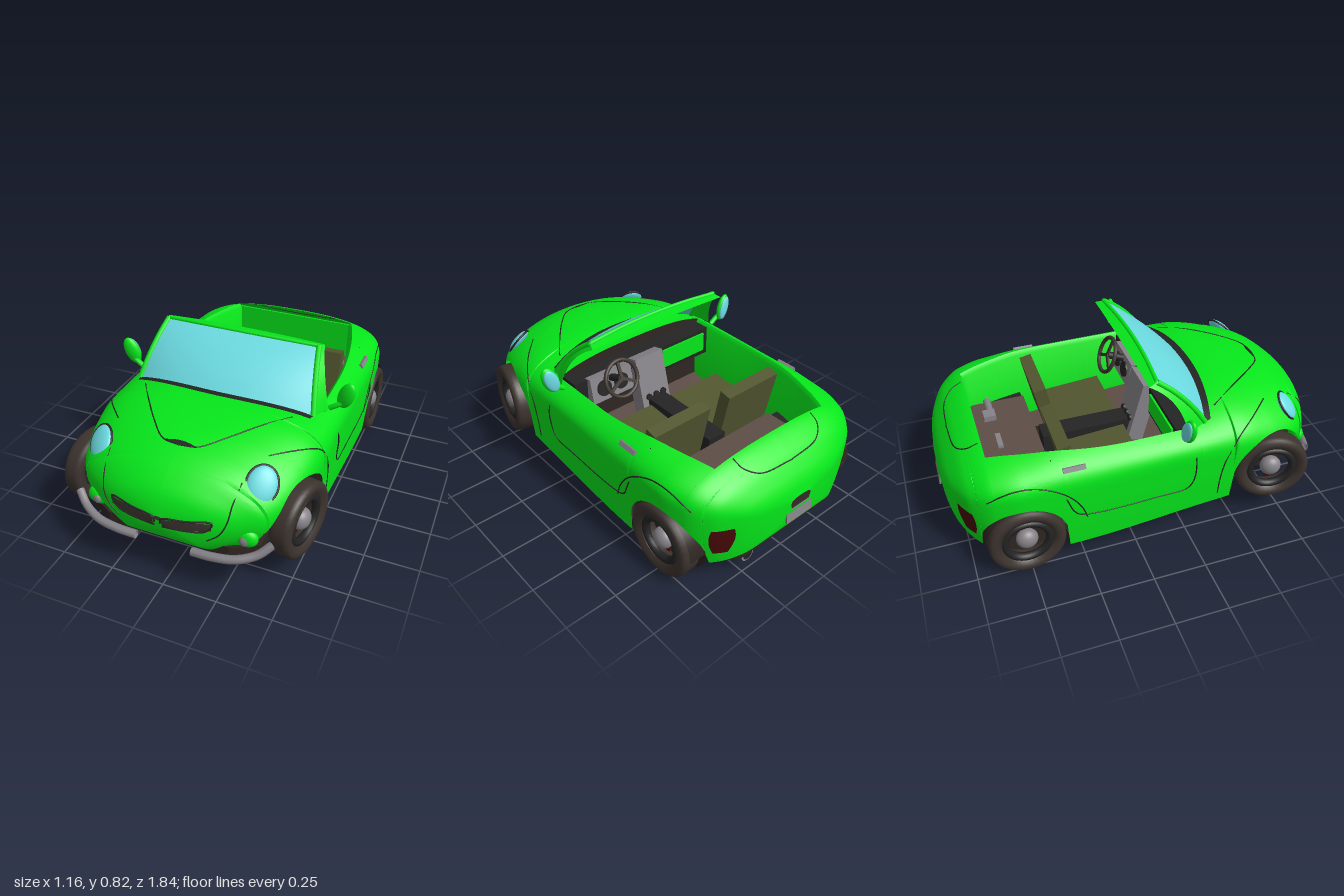
import * as THREE from 'three';
import { toCreasedNormals } from 'three/addons/utils/BufferGeometryUtils.js';

const mat = (name, color) => new THREE.MeshStandardMaterial({ name, color, side: THREE.DoubleSide });
const M = {
  paint: mat('green paint', 0x06ee1c), glass: mat('pale blue glass', 0x6cdce2),
  tyre: mat('tyre rubber', 0x3c332e), black: mat('black trim', 0x242424),
  under: mat('underbody', 0x2e2622), metal: mat('grey metal', 0x868388),
  seat: mat('olive cloth', 0x52562f), carpet: mat('brown carpet', 0x5e4d47), lamp: mat('dark red', 0x480a08),
};
const V = (x, y, z) => new THREE.Vector3(x, y, z);

// Body stations: z, half width, waist height, crown height, bottom, lower tuck
const ST = [
  [1.0, .02, .37, .38, .36, .1], [.985, .14, .36, .43, .29, .25], [.96, .245, .36, .475, .235, .32],
  [.92, .335, .36, .515, .21, .35], [.87, .415, .37, .55, .21, .25], [.78, .47, .39, .588, .2, .12],
  [.65, .51, .4, .612, .18, .05], [.48, .53, .42, .624, .16, .02], [.3, .53, .44, .61, .145, .02],
  [-.3, .53, .42, .615, .09, .03], [-.5, .525, .42, .59, .09, .03], [-.63, .495, .41, .568, .1, .06],
  [-.72, .43, .39, .52, .12, .12], [-.78, .32, .37, .452, .15, .15], [-.81, .21, .35, .4, .2, .2],
  [-.825, .06, .33, .35, .29, .2],
];
// Smooth monotone interpolation between stations; n is the roundness of the upper part
function section(z) {
  let i = 0;
  while (i < ST.length - 2 && z < ST[i + 1][0]) i++;
  const dz = ST[i + 1][0] - ST[i][0], t = THREE.MathUtils.clamp((z - ST[i][0]) / dz, 0, 1);
  const t2 = t * t, t3 = t2 * t;
  const [w, m, h, b, k] = [1, 2, 3, 4, 5].map((c) => {
    const slope = (j) => (ST[j + 1][c] - ST[j][c]) / (ST[j + 1][0] - ST[j][0]);
    const tangent = (j) => {
      if (j === 0 || j === ST.length - 1) return slope(Math.max(0, j - 1));
      const a = slope(j - 1), d = slope(j);
      return a * d <= 0 ? 0 : 2 * a * d / (a + d);
    };
    return (2 * t3 - 3 * t2 + 1) * ST[i][c] + (3 * t2 - 2 * t3) * ST[i + 1][c]
      + dz * ((t3 - 2 * t2 + t) * tangent(i) + (t3 - t2) * tangent(i + 1));
  });
  return { w, m, h, b, k, n: 2.6 - .55 * THREE.MathUtils.smoothstep(z, .5, .8) };
}
// Surface lookups: half width at (y, z), top at (x, z), end face at (x, y)
function sideX(y, z) {
  const { w, m, h, b, k, n } = section(z);
  if (y > h || y < b) return 0;
  return y > m ? w * (1 - ((y - m) / (h - m)) ** n) ** (1 / n) : w * (1 - k * ((m - y) / (m - b)) ** 2);
}
function topY(x, z) {
  const { w, m, h, n } = section(z);
  return m + (h - m) * (1 - Math.min(1, Math.abs(x) / w) ** n) ** (1 / n);
}
function endZ(x, y, dir) {
  let a = .55 * dir, b = dir > 0 ? 1 : -.825;
  for (let i = 0; i < 30; i++) {
    const c = (a + b) / 2;
    if (sideX(y, c) > Math.abs(x)) a = c; else b = c;
  }
  return a;
}
const onSide = (y, z, o = 0) => V(sideX(y, z) + o, y, z);
const onTop = (x, z, o = 0) => V(x, topY(x, z) + o, z);
const onNose = (x, y, o = 0) => V(x, y, endZ(x, y, 1) + o);

// Surface through rows of points
function grid(rows) {
  const n = rows[0].length, idx = [];
  for (let i = 0; i < rows.length - 1; i++) for (let j = 0; j < n - 1; j++) {
    const a = i * n + j, b = a + n;
    idx.push(a, b, a + 1, b, b + 1, a + 1);
  }
  const g = new THREE.BufferGeometry().setFromPoints(rows.flat());
  g.setIndex(idx);
  return toCreasedNormals(g, .7);
}
const patch = (nu, nv, f) => grid(Array.from({ length: nu + 1 }, (_, i) =>
  Array.from({ length: nv + 1 }, (_, j) => f(i / nu, j / nv))));
const ruled = (f, g, a = -1) => patch(20, 1, (u, v) => f(a + (1 - a) * u).lerp(g(a + (1 - a) * u), v));
const tube = (pts, r) => new THREE.TubeGeometry(new THREE.CatmullRomCurve3(pts), 50, r, 8);
const box = (x, y, z) => new THREE.BoxGeometry(x, y, z);
const cyl = (r, l) => new THREE.CylinderGeometry(r, r, l, 20);
const opening = (z) => .44 - .11 * Math.max(0, -z / .63) ** 2;

// Half of the body skin between two z values, cut by the wheel arches
function shell(z0, z1, steps, open) {
  return grid(Array.from({ length: steps + 1 }, (_, i) => {
    const z = z0 + (z1 - z0) * i / steps, { w, m, h, b, k, n } = section(z), p = 2 / n;
    let low = b;
    for (const [cz, cy, r] of [[.665, .265, .2], [-.51, .18, .185]])
      if (Math.abs(z - cz) < r) low = Math.max(low, cy + Math.sqrt(r * r - (z - cz) ** 2));
    const s0 = low < m ? -(m - low) / (m - b) : Math.asin(((low - m) / (h - m)) ** (1 / p)) * 2 / Math.PI;
    const s1 = open ? Math.acos((opening(z) / w) ** (1 / p)) * 2 / Math.PI : 1;
    const row = [V(z > .866 || z < -.7 ? 0 : sideX(low, z), low, z)];
    for (let j = 0; j <= 30; j++) {
      const s = s0 + (s1 - s0) * j / 30, a = s * Math.PI / 2;
      row.push(s < 0 ? V(w * (1 - k * s * s), m + s * (m - b), z)
        : V(w * Math.max(0, Math.cos(a)) ** p, m + (h - m) * Math.sin(a) ** p, z));
    }
    return row;
  }));
}

export function createModel() {
  const car = new THREE.Group(), half = new THREE.Group();
  car.name = 'convertibleCar';
  half.name = 'leftHalf';
  const add = (name, geo, m, pos = [0, 0, 0], rot = [0, 0, 0], parent = car) => {
    const mesh = new THREE.Mesh(geo, m);
    mesh.name = name;
    mesh.position.set(...pos);
    mesh.rotation.set(...rot);
    parent.add(mesh);
    return mesh;
  };
  const side = (name, geo, m, pos, rot) => add(name, geo, m, pos, rot, half);

  // Body skin
  side('noseTip', shell(1, .866, 24), M.paint);
  side('frontFenderAndHood', shell(.866, .3, 60), M.paint);
  side('doorAndRearFender', shell(.3, -.63, 90, true), M.paint);
  side('tail', shell(-.63, -.825, 40), M.paint);
  side('innerSideWall', patch(30, 2, (u, v) => {
    const z = .3 - .93 * u, o = opening(z);
    return V(v ? o - .015 : o, v < 1 ? topY(o, z) - .04 * v : .17, z);
  }), M.paint);
  add('rearBulkhead', box(.66, .34, .01), M.paint, [0, .365, -.63]);
  add('firewall', patch(20, 1, (u, v) => V(u - .5, v ? topY(u - .5, .32) - .004 : .17, .32)), M.under);

  // Panel seams
  const seam = (name, pts) => side(name, tube(pts, .003), M.black);
  seam('doorSeam', [[.55, .265], [.45, .27], [.32, .265], [.28, .235], [.27, .1], [.265, -.2], [.285, -.28], [.38, -.325], [.55, -.37]]
    .map(([y, z]) => onSide(y, z)));
  seam('frontFenderSeam', [[.56, .68], [.545, .58], [.5, .48], [.4, .42], [.3, .4], [.2, .395]].map(([y, z]) => onSide(y, z)));
  seam('hoodSeam', [[.36, .42], [.27, .55], [.17, .68], [.08, .77], [0, .785]].map(([x, z]) => onTop(x, z)));
  seam('noseSeam', [[.3, .52], [.29, .46], [.28, .39], [.25, .33], [.2, .29]].map(([x, y]) => onNose(x, y)));
  seam('trunkSeam', [[.24, -.64], [.23, -.69], [.17, -.735], [0, -.75]].map(([x, z]) => onTop(x, z)));
  seam('rearFenderSeam', Array.from({ length: 11 }, (_, i) => .25 + .195 * i)
    .map((a) => onSide(.18 + .3 * Math.sin(a), -.5 + .27 * Math.cos(a))));

  // Windscreen, its frame and the cowl strip
  const glassTop = (t) => V(.375 * t, .805 - .01 * t * t, .15 - .02 * t * t);
  const glassLow = (t) => onTop(.43 * t, .405 - .06 * t * t, .004);
  const cowl = (t) => onTop(.425 * t, .44 - .065 * t * t, .004);
  const header = (t) => V(.39 * t, .795 - .01 * t * t, .09);
  const bowed = (t, v) => glassTop(t).lerp(glassLow(t), v).add(V(0, 1, 1).multiplyScalar(.05 * v * (1 - v)));
  const rearEdge = new THREE.QuadraticBezierCurve3(header(1), V(.43, .72, .225), V(.47, .55, .25));
  add('windscreen', patch(20, 8, (u, v) => bowed(2 * u - 1, v)), M.glass);
  add('cowlStrip', ruled(glassLow, cowl), M.black);
  add('windscreenHeader', ruled(header, glassTop), M.paint);
  add('headerRail', tube([-1, -.5, 0, .5, 1].map(glassTop), .01), M.paint);
  side('pillarEdge', tube([0, .25, .5, .75, 1].map((v) => bowed(1, v)), .013), M.paint);
  side('pillar', ruled((t) => bowed(1, t), (t) => rearEdge.getPoint(t), 0), M.paint);

  // Lamps, grille and bumpers
  const lens = new THREE.SphereGeometry(1, 24, 16), lampPos = [.37, .505, endZ(.37, .505, 1) - .004];
  side('headlight', lens, M.glass, lampPos, [-.7, .4, 0]).scale.set(.063, .078, .024);
  side('headlightRim', new THREE.TorusGeometry(.066, .005, 8, 30), M.black, lampPos, [-.7, .4, 0]).scale.y = 1.2;
  side('grille', patch(12, 4, (u, v) => onNose(.02 + .205 * u, .332 + .022 * u + (.042 - .006 * u) * v, .006)), M.tyre);
  side('grilleFrame', tube([[.018, .33], [.12, .336], [.2, .348], [.228, .39], [.12, .384], [.018, .374], [.014, .35]]
    .map(([x, y]) => onNose(x, y, .004)), .004), M.black);
  side('fogLampPod', lens, M.paint, onNose(.345, .3, -.01).toArray()).scale.set(.05, .045, .03);
  side('fogLamp', lens, M.metal, onNose(.345, .295, .01).toArray(), [0, .4, 0]).scale.set(.025, .027, .016);
  side('frontBumper', tube([V(.13, .205, .965), V(.22, .212, .968), V(.32, .222, .955), V(.4, .245, .92), V(.45, .285, .885)], .019), M.metal);
  add('hoodVent', patch(10, 2, (u, v) => onTop(.14 * (u - .5), .775 + .022 * (v - .5) * Math.sin(Math.PI * u), .004)), M.black);
  side('tailLamp', patch(8, 8, (u, v) => onSide(.19 + .14 * v,
    -.748 - .058 * (u - .5) * (.6 + .4 * Math.sin(Math.PI * v * .8)) + .012 * (1 - v), .005)), M.lamp);
  add('rearPlate', box(.16, .055, .009), M.metal, [0, .255, -.822], [.15, 0, 0]);
  add('exhaust', new THREE.CylinderGeometry(.024, .034, .1, 20), M.metal, [.24, .105, -.715], [Math.PI / 2, 0, 0]);
  add('exhaustBore', cyl(.025, .004), M.black, [.24, .105, -.765], [Math.PI / 2, 0, 0]);

  // Handles and mirrors
  side('doorHandle', box(.02, .022, .1), M.metal, [sideX(.52, -.28), .52, -.28], [0, 0, .5]);
  side('mirrorShell', lens, M.paint, [.54, .625, .222], [0, -.2, -.35]).scale.set(.038, .07, .022);
  side('mirrorGlass', lens, M.glass, [.54, .625, .208], [0, -.2, -.35]).scale.set(.032, .061, .012);
  side('mirrorArm', tube([V(.47, .55, .23), V(.5, .57, .23), V(.53, .59, .225)], .013), M.paint);

  // Underbody pan with wheel cutouts, following the nose-up stance
  const edge = [[.28, .93], [.4, .86], [.39, .85], [.39, .47], [.5, .46], [.505, -.32], [.38, -.33], [.38, -.69], [.4, -.7], [.28, -.77]];
  const plan = new THREE.Shape([...edge, ...edge.slice().reverse().map(([x, z]) => [-x, z])].map(([x, z]) => new THREE.Vector2(x, z)));
  const pan = new THREE.ExtrudeGeometry(plan, { depth: .05, bevelEnabled: false }).rotateX(Math.PI / 2);
  const pp = pan.attributes.position, panY = (z) => (z > -.32 ? .117 + .09 * z : .089 - .06 * (z + .32));
  for (let i = 0; i < pp.count; i++) pp.setY(i, pp.getY(i) + .05 + panY(pp.getZ(i)));
  pan.computeVertexNormals();
  add('underbody', pan, M.under);
  for (const [x, z] of [[.2, .3], [.28, -.1], [.12, -.25], [.3, .1]])
    side('underbodyPlug', cyl(.025, .008), M.carpet, [x, panY(z), z], [-.09, 0, 0]);

  // Interior
  add('cabinFloor', box(.86, .02, .66), M.carpet, [0, .18, -.02], [-.09, 0, 0]);
  add('rearShelf', box(.66, .16, .3), M.carpet, [0, .26, -.48]);
  side('shelfSideTrim', box(.07, .2, .17), M.black, [.36, .22, -.42]);
  add('centreConsole', box(.1, .17, .45), M.black, [0, .27, -.09]);
  add('dashboard', box(.84, .15, .1), M.black, [0, .475, .26]);
  add('instrumentPod', box(.24, .13, .05), M.metal, [.23, .49, .2], [.2, 0, 0]);
  for (const x of [.18, .28]) add('gauge', cyl(.04, .01), M.black, [x, .495, .172], [Math.PI / 2 + .2, 0, 0]);
  add('dashPanel', box(.28, .1, .01), M.paint, [-.25, .48, .205]);
  add('centreStack', box(.17, .32, .08), M.metal, [0, .4, .18], [.25, 0, 0]);
  for (const x of [-.045, 0, .045]) add('dashKnob', cyl(.016, .02), M.black, [x, .36, .128], [Math.PI / 2 + .25, 0, 0]);
  side('seatCushion', box(.31, .1, .34), M.seat, [.22, .28, -.08], [-.08, 0, 0]);
  side('seatBack', box(.32, .28, .06), M.seat, [.22, .41, -.265], [-.2, 0, 0]);
  side('shelfHinge', cyl(.018, .16), M.metal, [.25, .35, -.52], [0, 0, Math.PI / 2]);
  side('hingeBlock', box(.06, .03, .06), M.metal, [.2, .355, -.53]);
  add('shelfLatch', box(.1, .015, .025), M.metal, [0, .347, -.52]);
  const steer = new THREE.Group();
  steer.name = 'steeringWheel';
  steer.position.set(.23, .565, .1);
  steer.rotation.x = .4;
  car.add(steer);
  add('steeringRim', new THREE.TorusGeometry(.088, .01, 10, 32), M.tyre, [0, 0, 0], [0, 0, 0], steer);
  for (const a of [.52, 2.62, 4.71])
    add('steeringSpoke', box(.09, .015, .01), M.tyre, [.044 * Math.cos(a), -.044 * Math.sin(a), 0], [0, 0, -a], steer);
  add('steeringColumn', cyl(.018, .12), M.black, [0, 0, .06], [Math.PI / 2, 0, 0], steer);

  // Rear wheel wells and front struts
  side('rearWheelWell', new THREE.CylinderGeometry(.186, .186, .1, 32, 1, true, 0, Math.PI), M.under, [.462, .18, -.51], [0, 0, Math.PI / 2]);
  side('rearWellWall', new THREE.CircleGeometry(.186, 32), M.under, [.412, .18, -.51], [0, Math.PI / 2, 0]);
  side('frontStrut', cyl(.026, .24), M.lamp, [.4, .36, .67]);
  const right = half.clone();
  right.name = 'rightHalf';
  right.scale.x = -1;
  car.add(half, right);

  // Wheels
  const tyre = new THREE.LatheGeometry([[.118, -.036], [.14, -.05], [.16, -.049], [.172, -.038], [.175, -.02], [.175, .02],
    [.172, .038], [.16, .049], [.14, .05], [.118, .036], [.11, 0], [.118, -.036]].map(([r, y]) => new THREE.Vector2(r, y)), 40);
  const makeWheel = (name, s, x, y, z, turn) => {
    const w = new THREE.Group();
    w.name = name;
    w.position.set(s * x, y, z);
    w.rotation.y = turn;
    car.add(w);
    add('tyre', tyre, M.tyre, [0, 0, 0], [0, 0, Math.PI / 2], w);
    add('rim', new THREE.TorusGeometry(.102, .019, 8, 36), M.black, [s * .022, 0, 0], [0, Math.PI / 2, 0], w);
    add('hub', lens, M.metal, [s * .01, 0, 0], [0, 0, 0], w).scale.set(.04, .05, .05);
    add('hubStrut', box(.012, .19, .022), M.lamp, [-s * .02, 0, 0], [0, 0, 0], w);
  };
  for (const s of [-1, 1]) {
    makeWheel('frontWheel', s, .492, .275, .675, -.21);
    makeWheel('rearWheel', s, .485, .177, -.51, 0);
  }
  add('frontAxle', cyl(.015, .92), M.metal, [0, .275, .675], [0, 0, Math.PI / 2]);
  return car;
}
